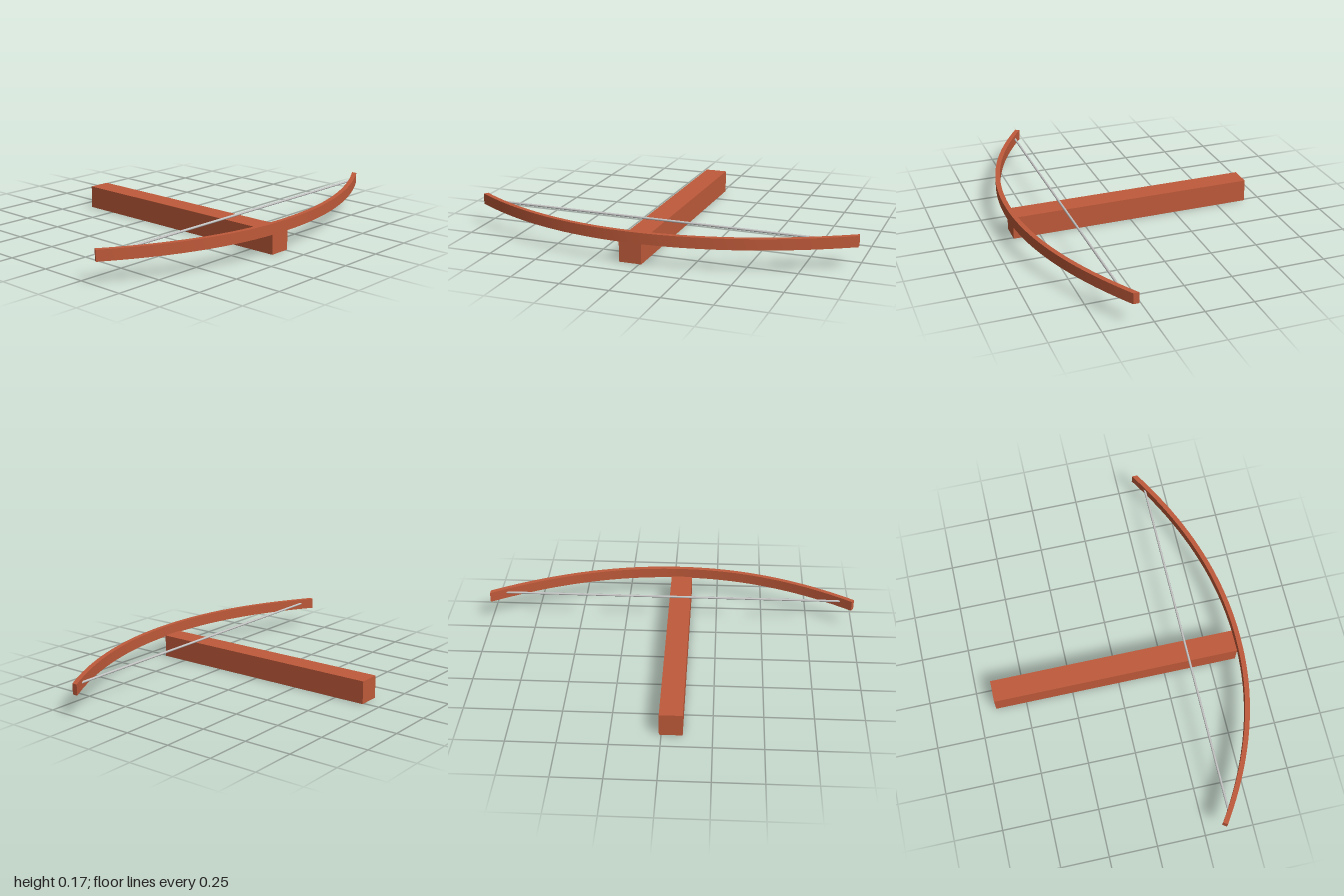
import * as THREE from 'three';
import { toCreasedNormals } from 'three/addons/utils/BufferGeometryUtils.js';

export function createModel() {
  const model = new THREE.Group();
  model.name = 'crossbow';

  const wood = new THREE.MeshStandardMaterial({ color: 0xbf5a3a });
  wood.name = 'red wood';
  const cord = new THREE.MeshStandardMaterial({ color: 0xc4c4c4 });
  cord.name = 'pale cord';

  const add = (name, geometry, material, x, y, z) => {
    const mesh = new THREE.Mesh(geometry, material);
    mesh.name = name;
    mesh.position.set(x, y, z);
    model.add(mesh);
    return mesh;
  };

  // Stock: a plain square beam
  add('stock', new THREE.BoxGeometry(0.116, 0.119, 1.302), wood, -0.047, 0.0595, -0.012);

  // Bow limb: a curved strip, slightly uneven from side to side
  const crown = -0.03, front = 0.653, half = 0.0125, steps = 40;
  const curve = (x) => {
    const d = x - crown;
    return d < 0
      ? front - 0.311 * Math.pow(-d / 0.963, 2.1)
      : front - 0.316 * Math.pow(d / 1.03, 2);
  };
  const outer = [], inner = [];
  for (let i = 0; i <= steps; i++) {
    const x = -0.993 + (1.993 * i) / steps;
    const slope = (curve(x + 0.001) - curve(x - 0.001)) / 0.002;
    const offset = half * Math.sqrt(1 + slope * slope);
    // The left tip is cut square to the limb, the right tip along the stock
    const skew = i === 0 ? 0.007 : 0;
    outer.push(new THREE.Vector2(x - skew, curve(x) + offset - skew * 0.6));
    inner.push(new THREE.Vector2(x + skew, curve(x) - offset + skew * 0.6));
  }
  const limb = new THREE.ExtrudeGeometry(new THREE.Shape([...outer, ...inner.reverse()]), {
    depth: 0.056,
    bevelEnabled: false,
  });
  limb.rotateX(Math.PI / 2);
  add('bowLimb', toCreasedNormals(limb, 0.5), wood, 0, 0.169, 0);

  // Bowstring: a straight cord whose ends sit inside the limb
  const string = new THREE.CylinderGeometry(0.006, 0.006, 1.87, 12);
  string.rotateZ(Math.PI / 2);
  add('bowstring', string, cord, -0.015, 0.145, 0.376);

  return model;
}
